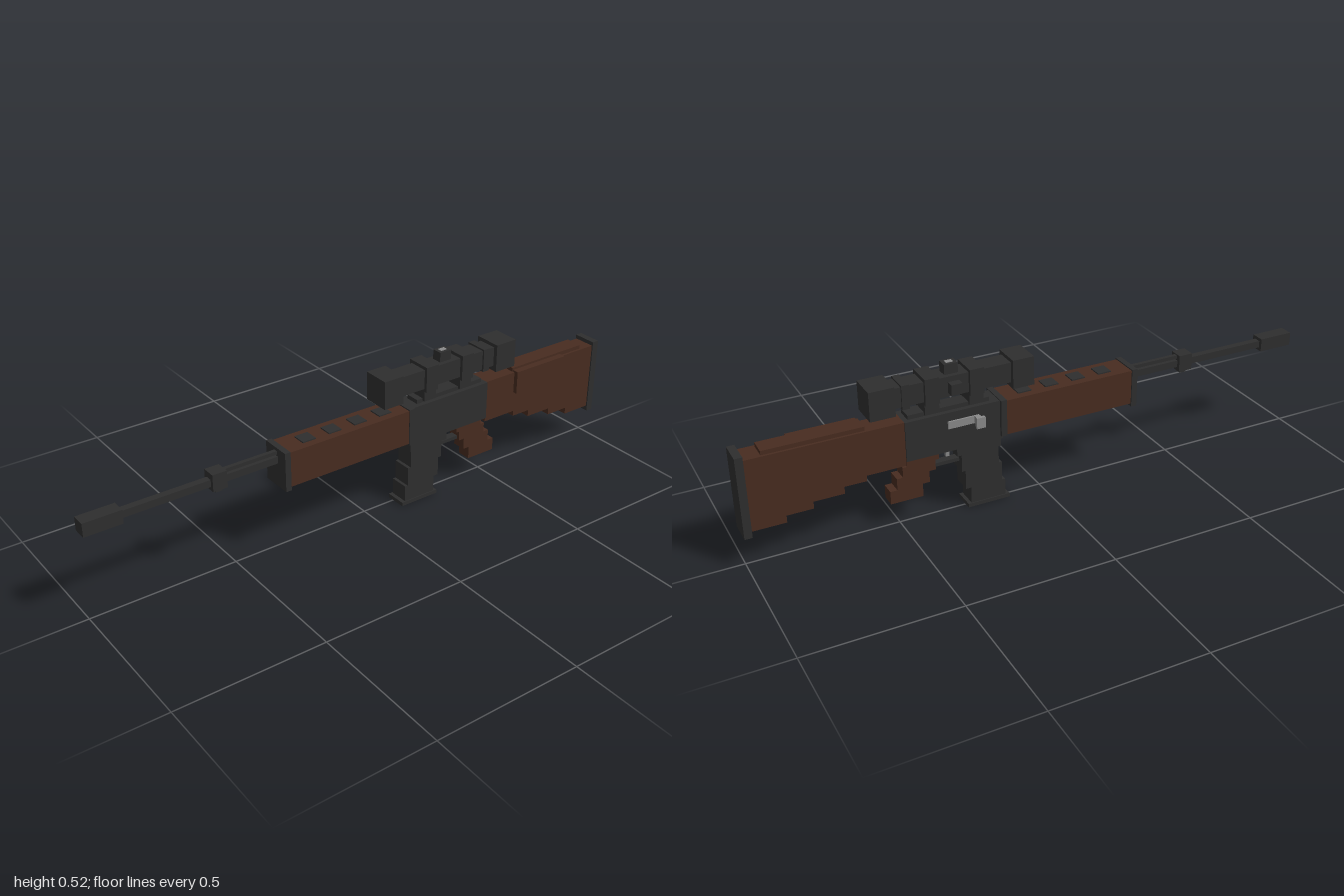
import * as THREE from 'three';

const steel = new THREE.MeshStandardMaterial({ color: 0x2e2e2e });
steel.name = 'dark steel';
const wood = new THREE.MeshStandardMaterial({ color: 0x482c20 });
wood.name = 'walnut wood';
const bare = new THREE.MeshStandardMaterial({ color: 0x8a8a8a });
bare.name = 'bare metal';

const MID = 0.0125; // centre plane of the body

export function createModel() {
  const model = new THREE.Group();
  model.name = 'rifle';

  // Block given by its limits along x, y and z
  const block = (name, mat, x0, x1, y0, y1, z0, z1) => {
    const mesh = new THREE.Mesh(new THREE.BoxGeometry(x1 - x0, y1 - y0, z1 - z0), mat);
    mesh.position.set((x0 + x1) / 2, (y0 + y1) / 2, (z0 + z1) / 2);
    mesh.name = name;
    model.add(mesh);
  };
  // Block centred on the body plane, with half width w
  const mid = (name, mat, x0, x1, y0, y1, w) => block(name, mat, x0, x1, y0, y1, MID - w, MID + w);

  // Barrel, muzzle and front sight
  mid('muzzle', steel, -1, -0.875, 0.304, 0.35, 0.024);
  mid('barrel', steel, -0.875, -0.33, 0.315, 0.339, 0.012);
  mid('gasBlock', steel, -0.582, -0.532, 0.302, 0.36, 0.024);
  mid('gasBlockFoot', steel, -0.567, -0.545, 0.29, 0.302, 0.012);
  mid('gasTube', steel, -0.532, -0.33, 0.344, 0.356, 0.007);

  // Handguard with its bands and top vents
  mid('handguard', wood, -0.328, 0.14, 0.242, 0.363, 0.05);
  mid('frontBand', steel, -0.346, -0.326, 0.232, 0.367, 0.054);
  mid('rearBand', steel, 0.135, 0.155, 0.24, 0.367, 0.053);
  for (let i = 0; i < 4; i++) {
    const x = -0.237 + i * 0.098;
    mid('vent', steel, x - 0.024, x + 0.024, 0.361, 0.367, 0.024);
  }

  // Receiver and scope rail
  mid('receiver', steel, 0.145, 0.476, 0.228, 0.364, 0.0425);
  mid('sightRail', steel, 0.185, 0.46, 0.364, 0.378, 0.026);
  mid('magazineWell', steel, 0.152, 0.305, 0.2, 0.23, 0.039);

  // Bolt on the right-hand side
  block('boltPlate', bare, 0.235, 0.335, 0.31, 0.335, -0.036, -0.028);
  block('boltHandle', bare, 0.228, 0.246, 0.31, 0.335, -0.056, -0.03);
  block('boltKnob', bare, 0.222, 0.252, 0.304, 0.341, -0.067, -0.056);

  // Magazine, stepping forward towards the floor plate
  [[0.158, 0.288, 0.137, 0.2], [0.147, 0.276, 0.07, 0.137], [0.136, 0.258, 0.012, 0.07]].forEach(
    ([x0, x1, y0, y1]) => mid('magazine', steel, x0, x1, y0, y1, 0.034));
  mid('magazinePlate', steel, 0.122, 0.27, 0, 0.013, 0.0375);

  // Trigger and guard
  mid('triggerGuard', steel, 0.28, 0.38, 0.168, 0.18, 0.014);
  mid('trigger', bare, 0.318, 0.33, 0.19, 0.23, 0.006);

  // Stepped pistol grip
  [[0.362, 0.47, 0.2, 0.23], [0.374, 0.485, 0.165, 0.2], [0.396, 0.506, 0.125, 0.165],
    [0.42, 0.53, 0.08, 0.125]].forEach(
    ([x0, x1, y0, y1]) => mid('grip', wood, x0, x1, y0, y1, 0.0245));

  // Stock with a stepped underside
  [[0.476, 0.607, 0.213], [0.607, 0.68, 0.194], [0.68, 0.78, 0.17], [0.78, 0.866, 0.146],
    [0.866, 0.977, 0.122]].forEach(
    ([x0, x1, y0]) => mid('stock', wood, x0, x1, y0, 0.364, 0.038));
  mid('stockComb', wood, 0.6, 0.92, 0.364, 0.378, 0.03);
  block('cheekPiece', wood, 0.602, 0.823, 0.288, 0.37, 0.04, 0.066);
  mid('buttPlate', steel, 0.975, 1, 0.103, 0.378, 0.0425);

  // Scope
  mid('scopeTube', steel, 0.1, 0.51, 0.415, 0.483, 0.034);
  mid('scopeObjective', steel, 0.036, 0.11, 0.397, 0.495, 0.0485);
  mid('scopeEyepiece', steel, 0.505, 0.588, 0.397, 0.495, 0.0485);
  mid('scopeCollar', steel, 0.455, 0.48, 0.408, 0.489, 0.04);
  [0.232, 0.382].forEach((x) => {
    mid('scopeRing', steel, x - 0.024, x + 0.024, 0.405, 0.494, 0.045);
    mid('scopeMount', steel, x - 0.024, x + 0.024, 0.37, 0.405, 0.036);
  });
  mid('topTurret', steel, 0.284, 0.33, 0.48, 0.517, 0.018);
  mid('turretCap', bare, 0.295, 0.319, 0.516, 0.519, 0.008);
  block('sideTurret', steel, 0.288, 0.326, 0.429, 0.465, -0.048, -0.02);

  return model;
}
